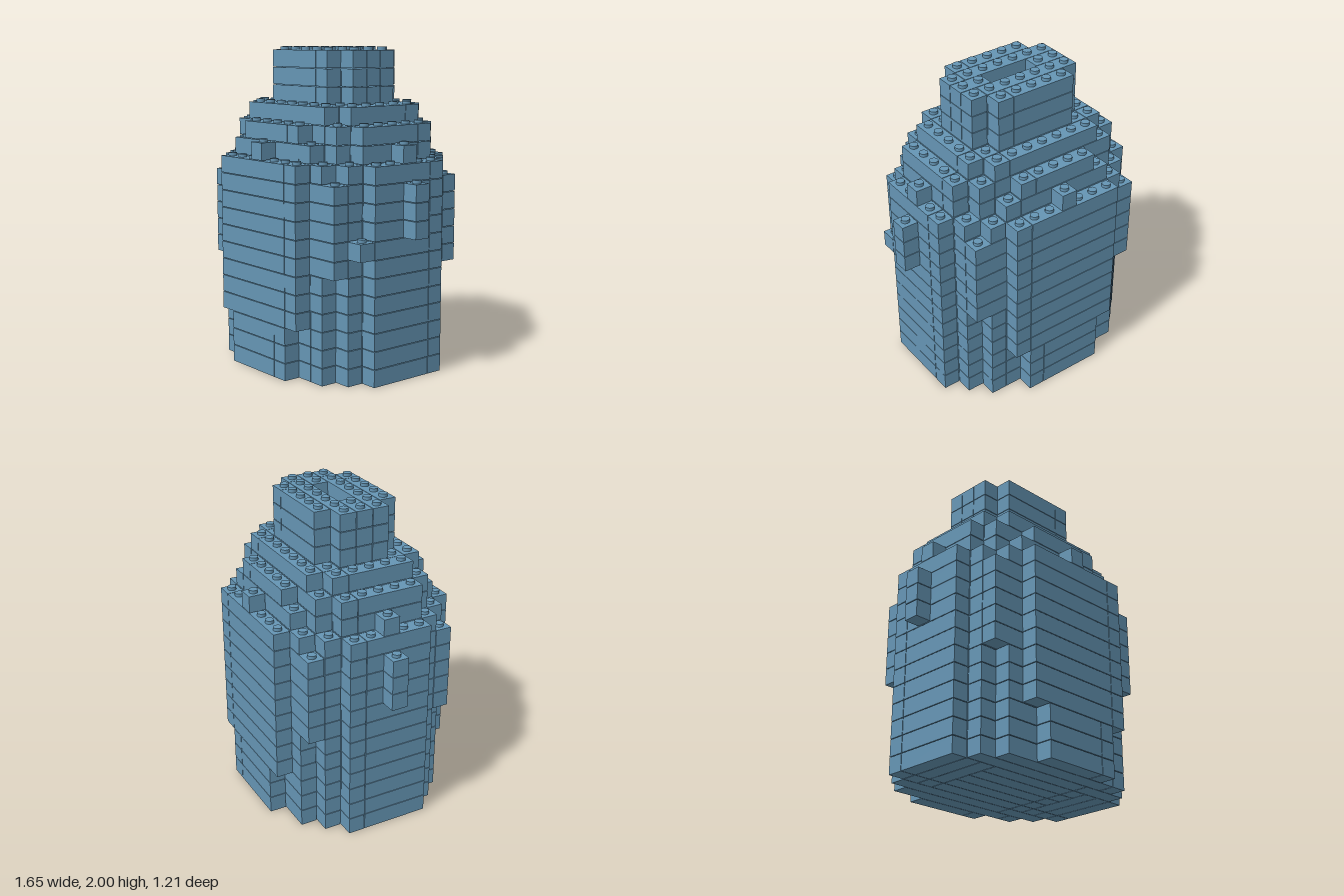
import * as THREE from 'three';
import { mergeGeometries } from 'three/addons/utils/BufferGeometryUtils.js';

const PITCH = 0.11;            // stud spacing
const STUD_H = 0.018, STUD_R = 0.027;
const LAYERS = 18;
const LAYER_H = (2 - STUD_H) / LAYERS;
const GAP = 0.004;             // fine joint between bricks

// Top layer of each column, indexed by [|z|][|x|]; every quarter is alike
const TOPS = [
  [18, 18, 18, 18, 15, 14, 13, 11],
  [18, 18, 18, 18, 15, 14, 12],
  [18, 18, 18, 15, 15, 14, 12],
  [15, 15, 15, 15, 14, 12],
  [14, 14, 14, 13, 12, 11],
  [13, 12, 12, 12],
];

// Layers [from, to) filled at a grid cell
function span(x, z) {
  if (x === 6 && z === 3) return [7, 8];                     // single stray brick
  const ax = Math.abs(x), az = Math.abs(z);
  const top = TOPS[az]?.[ax] ?? 0;
  if (az === 0 && ax <= 1) return [0, 15];                   // slot in the neck
  if (ax === 7) return [8, top];                             // side lugs
  if (az === 4 && ax === 5) return [6, top];                 // corner ribs
  if (az === 5 && ax === 3) return [3, top];                 // overhang of the front and back
  return [0, top];
}
const filled = (x, z, k) => {
  const [from, to] = span(x, z);
  return k >= from && k < to;
};

// Outer flanks use bricks laid along z, the rest along x
const alongZ = (x, z) => Math.abs(x) >= 4 && Math.abs(x) <= 6 && Math.abs(z) <= 2;
const LENGTHS = [8, 6, 4, 3, 2, 1];

function brick(x0, z0, nx, nz, k) {
  const g = new THREE.BoxGeometry(nx * PITCH - GAP, LAYER_H - GAP, nz * PITCH - GAP);
  return g.translate((x0 + (nx - 1) / 2) * PITCH, (k + 0.5) * LAYER_H, (z0 + (nz - 1) / 2) * PITCH);
}

// Cut a run of cells into standard brick lengths
function cutRun(length, place) {
  let start = 0;
  while (start < length) {
    const n = LENGTHS.find((l) => l <= length - start);
    place(start, n);
    start += n;
  }
}

// Bricks of one layer
function layerBricks(k) {
  const out = [];
  for (let z = -5; z <= 5; z++) {
    for (let x = -7; x <= 7; x++) {
      if (!filled(x, z, k) || alongZ(x, z)) continue;
      let n = 1;
      while (filled(x + n, z, k) && !alongZ(x + n, z)) n++;
      cutRun(n, (s, l) => out.push(brick(x + s, z, l, 1, k)));
      x += n - 1;
    }
  }
  for (const x of [-6, -5, -4, 4, 5, 6]) {
    for (let z = 2; z >= -2; z--) {
      if (!filled(x, z, k)) continue;
      let n = 1;
      while (z - n >= -2 && filled(x, z - n, k)) n++;
      cutRun(n, (s, l) => out.push(brick(x, z - s - l + 1, 1, l, k)));
      z -= n - 1;
    }
  }
  return out;
}

// Studs on every cell left open above
function layerStuds(k) {
  const out = [];
  for (let z = -5; z <= 5; z++) {
    for (let x = -7; x <= 7; x++) {
      if (!filled(x, z, k) || filled(x, z, k + 1)) continue;
      const g = new THREE.CylinderGeometry(STUD_R, STUD_R, STUD_H + GAP, 16);
      out.push(g.translate(x * PITCH, (k + 1) * LAYER_H + (STUD_H - GAP) / 2, z * PITCH));
    }
  }
  return out;
}

export function createModel() {
  const model = new THREE.Group();
  model.name = 'brickJar';
  const blue = new THREE.MeshStandardMaterial({ color: 0x6595b4 });
  blue.name = 'sandBlue';

  const sections = [['base', 0, 3], ['body', 3, 11], ['shoulder', 11, 15], ['neck', 15, 18]];
  for (const [name, from, to] of sections) {
    const group = new THREE.Group();
    group.name = name;
    const bricks = [], studs = [];
    for (let k = from; k < to; k++) {
      bricks.push(...layerBricks(k));
      studs.push(...layerStuds(k));
    }
    for (const [part, list] of [['Bricks', bricks], ['Studs', studs]]) {
      if (!list.length) continue;
      const mesh = new THREE.Mesh(mergeGeometries(list), blue);
      mesh.name = name + part;
      group.add(mesh);
    }
    model.add(group);
  }
  return model;
}
